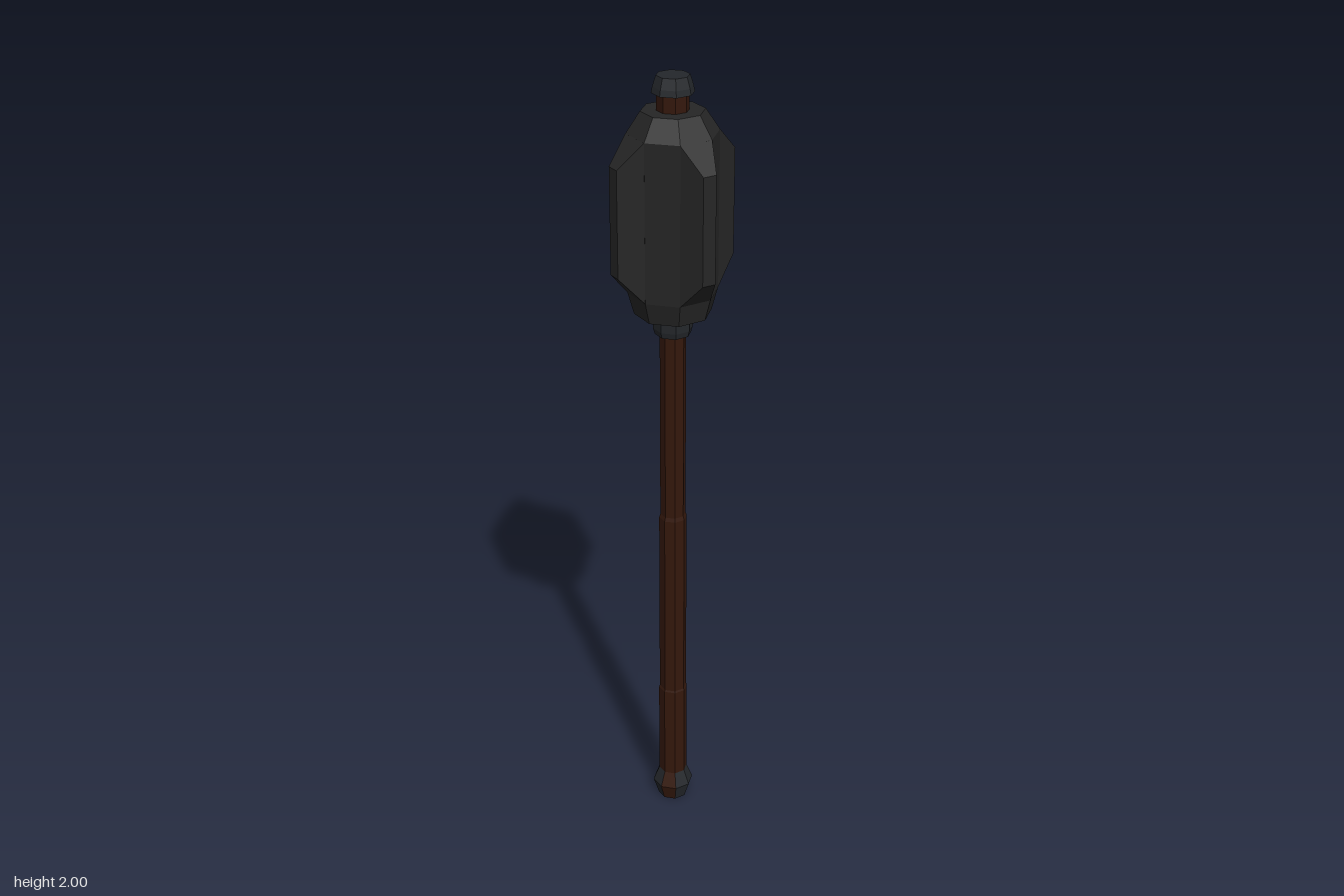
import * as THREE from 'three';
import { ConvexGeometry } from 'three/addons/geometries/ConvexGeometry.js';

const SIDES = 8;
const material = (color) => new THREE.MeshStandardMaterial({ color, flatShading: true });

export function createModel() {
  const group = new THREE.Group();
  const iron = material(0x262626);
  const fittings = material(0x24272b);
  const wood = material(0x34180c);

  // Eight-sided turned part from [radius, height] pairs, bottom to top
  const turned = (name, profile, mat, start = 0, faces = SIDES) => {
    const points = profile.map(([r, y]) => new THREE.Vector2(r, y));
    const step = (Math.PI * 2) / SIDES;
    const geometry = new THREE.LatheGeometry(points, faces, start * step, faces * step);
    const mesh = new THREE.Mesh(geometry, mat);
    mesh.name = name;
    group.add(mesh);
  };

  // Wooden shaft, stepped slightly thicker towards the grip
  turned('shaft', [
    [0, 0.06], [0.037, 0.06], [0.037, 0.35], [0.035, 0.355],
    [0.035, 0.87], [0.032, 0.88], [0.032, 1.4],
  ], wood);
  turned('shaftTip', [[0.038, 1.9], [0.038, 1.97]], wood);

  // Pommel, with one face in wood
  const pommel = [[0, 0], [0.039, 0], [0.053, 0.045], [0.037, 0.085]];
  turned('pommel', pommel, fittings, 0, SIDES - 1);
  turned('pommelInlay', pommel, wood, SIDES - 1, 1);

  // Collar under the head and cap on top
  turned('collar', [[0.032, 1.375], [0.044, 1.375], [0.048, 1.39], [0.048, 1.44]], fittings);
  turned('cap', [[0.037, 1.96], [0.05, 1.96], [0.047, 1.975], [0.039, 2], [0, 2]], fittings);

  // Head core
  turned('headCore', [
    [0, 1.43], [0.093, 1.43], [0.108, 1.485], [0.108, 1.87], [0.075, 1.92], [0, 1.92],
  ], iron);

  // Four flanges growing from every other face of the core
  const base = [[0.108, 0], [0.0765, -0.0765]];
  const tip = [[0.152, -0.045], [0.139, -0.0765]];
  const corners = [];
  for (const [x, z] of base) for (const y of [1.485, 1.87]) corners.push(new THREE.Vector3(x, y, z));
  for (const [x, z] of tip) for (const y of [1.55, 1.81]) corners.push(new THREE.Vector3(x, y, z));
  const flangeGeometry = new ConvexGeometry(corners);
  for (let i = 0; i < 4; i++) {
    const flange = new THREE.Mesh(flangeGeometry, iron);
    flange.name = 'flange' + (i + 1);
    flange.rotation.y = (i * Math.PI) / 2;
    group.add(flange);
  }

  return group;
}
